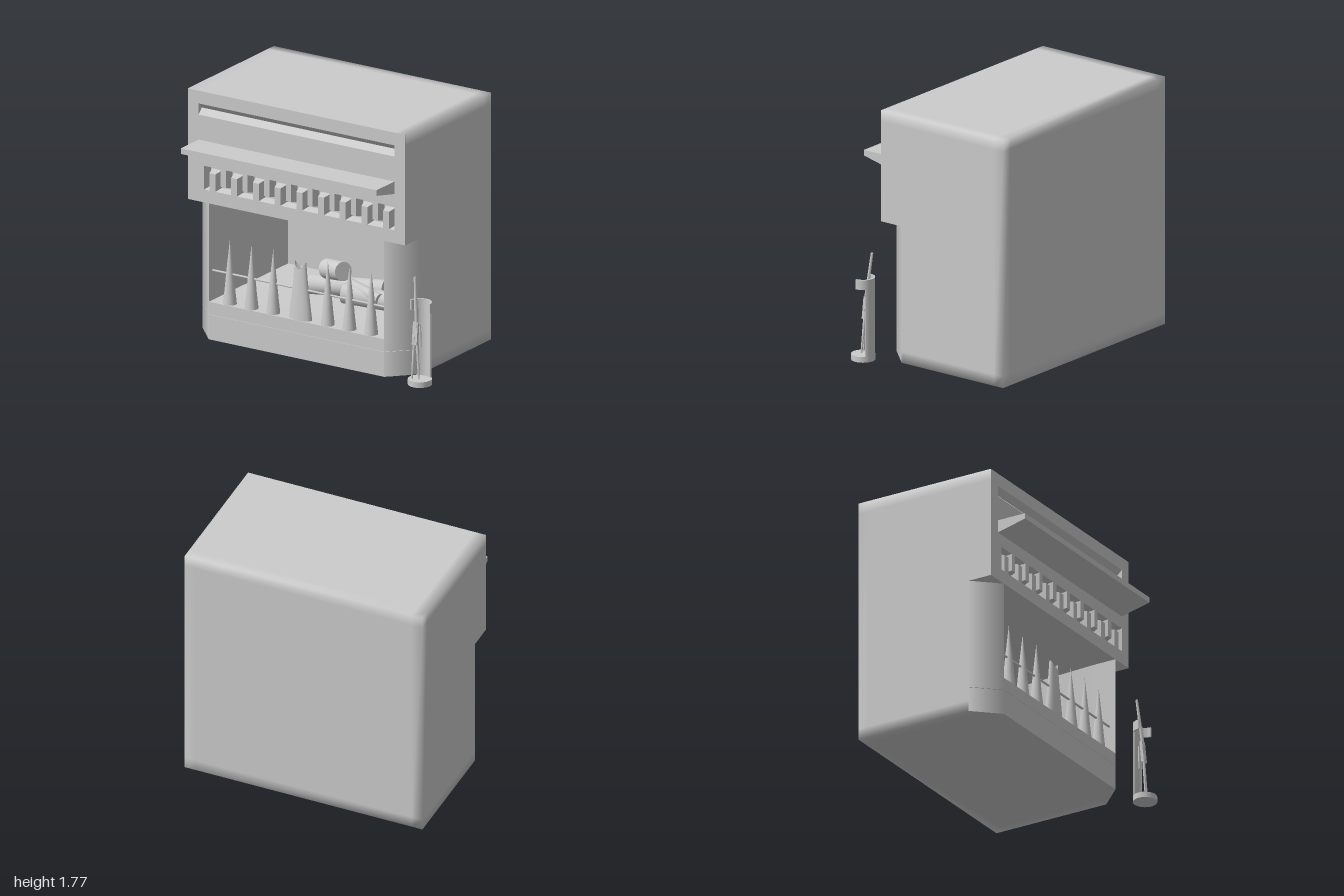
import * as THREE from 'three';
import { mergeVertices } from 'three/addons/utils/BufferGeometryUtils.js';

const grey = new THREE.MeshStandardMaterial({ color: 0xcccccc });
const greyBoth = new THREE.MeshStandardMaterial({ color: 0xcccccc, side: THREE.DoubleSide });
const V = (x, y, z) => new THREE.Vector3(x, y, z);
const shapeOf = pts => new THREE.Shape(pts.map(p => new THREE.Vector2(...p)));

export function createModel() {
  const model = new THREE.Group();
  const add = (name, geometry, material = grey, parent = model) => {
    const mesh = new THREE.Mesh(geometry, material);
    mesh.name = name;
    parent.add(mesh);
    return mesh;
  };
  const group = name => {
    const g = new THREE.Group();
    g.name = name;
    model.add(g);
    return g;
  };
  const box = (x0, x1, y0, y1, z0, z1) =>
    new THREE.BoxGeometry(x1 - x0, y1 - y0, z1 - z0).translate((x0 + x1) / 2, (y0 + y1) / 2, (z0 + z1) / 2);
  const extrude = (shape, depth) =>
    new THREE.ExtrudeGeometry(shape, { depth, bevelEnabled: false, curveSegments: 12 });
  // (z, y) profile swept along x
  const alongX = (zy, x0, x1) =>
    extrude(shapeOf(zy.map(([z, y]) => [-z, y])), x1 - x0).rotateY(Math.PI / 2).translate(x0, 0, 0);
  // (x, z) plan raised along y
  const raise = (shape, y0, y1) => extrude(shape, y1 - y0).rotateX(-Math.PI / 2).translate(0, y0, 0);
  const plan = xz => shapeOf(xz.map(([x, z]) => [x, -z]));
  // rod between two points
  const rod = (a, b, ra, rb = ra, sides = 12) => {
    const d = b.clone().sub(a);
    return new THREE.CylinderGeometry(rb, ra, d.length(), sides)
      .applyQuaternion(new THREE.Quaternion().setFromUnitVectors(V(0, 1, 0), d.normalize()))
      .translate((a.x + b.x) / 2, (a.y + b.y) / 2, (a.z + b.z) / 2);
  };
  // box with softly shaded edges; faces: 0 +x, 1 -x, 2 +y, 3 -y, 4 +z, 5 -z
  const softBox = (x0, x1, y0, y1, z0, z1, faces) => {
    const size = [x1 - x0, y1 - y0, z1 - z0];
    const g = new THREE.BoxGeometry(...size, 3, 3, 3);
    const p = g.attributes.position;
    for (let i = 0; i < p.count; i++) for (let k = 0; k < 3; k++) {
      const v = p.getComponent(i, k);
      if (Math.abs(v) < size[k] * 0.4) p.setComponent(i, k, Math.sign(v) * (size[k] / 2 - 0.08));
    }
    const index = Array.from(g.index.array);
    g.setIndex(faces.flatMap(f => index.slice(f * 54, f * 54 + 54)));
    g.clearGroups();
    g.deleteAttribute('uv');
    g.deleteAttribute('normal');
    const merged = mergeVertices(g);
    merged.computeVertexNormals();
    return merged.translate((x0 + x1) / 2, (y0 + y1) / 2, (z0 + z1) / 2);
  };
  // shade the diagonal corner faces smoothly from side to front
  const softCorner = g => {
    const p = g.attributes.position, n = g.attributes.normal;
    for (let i = 0; i < p.count; i++) {
      if (Math.abs(n.getX(i)) < 0.3 || n.getZ(i) < 0.3) continue;
      const s = Math.sign(n.getX(i));
      if (p.getZ(i) < 0.3) n.setXYZ(i, s, 0, 0);
      else n.setXYZ(i, s * 0.3, 0, 0.95);
    }
    return g;
  };

  // Main casing and the overhanging upper casing
  const L = -1, R = 0.772, T = 1.773, mid = 0.977, e = 0.001;
  add('casing', softBox(L, R, 0, T, -0.64, 0.24, [0, 1, 2, 3, 5]));
  add('upperCasing', softBox(L, R, mid, T, 0.24, 0.42, [0, 1, 2]));
  add('upperCore', box(L + e, R - e, mid, T - e, 0.24, 0.36));

  // Upper front with a slot and a square-wave channel with sloping walls
  const front = shapeOf([[L + e, mid], [R - e, mid], [R - e, T - e], [L + e, T - e]]);
  const s0 = -0.913, s1 = 0.682;
  front.holes.push(shapeOf([[s0, 1.6], [s0, 1.68], [s1, 1.68], [s1, 1.6]]));
  const channel = d => {
    const upper = [], lower = [], w = 0.043 - d;
    for (let i = 0; i < 9; i++) {
      const a = -0.868 + i * 0.177, b = a + 0.135, foot = 1.07 + d, cup = 1.115 - d;
      upper.push([a + d, i ? cup : foot], [a + d, 1.24 - d], [b - d, 1.24 - d], [b - d, i < 8 ? cup : foot]);
      lower.push([a + w, foot], [a + w, 1.195 + d], [b - w, 1.195 + d], [b - w, foot]);
    }
    return [...upper, ...lower.reverse()];
  };
  const rim = channel(0), bed = channel(0.015), walls = [];
  rim.forEach((p, i) => {
    const j = (i + 1) % rim.length;
    const a = [...p, 0.42], b = [...rim[j], 0.42], c = [...bed[j], 0.36], d = [...bed[i], 0.36];
    walls.push(...a, ...b, ...c, ...a, ...c, ...d);
  });
  front.holes.push(shapeOf(rim));
  add('upperFront', extrude(front, 0.06).translate(0, 0, 0.36));
  const wallGeometry = new THREE.BufferGeometry();
  wallGeometry.setAttribute('position', new THREE.Float32BufferAttribute(walls, 3));
  wallGeometry.computeVertexNormals();
  add('channelWalls', wallGeometry, greyBoth);
  add('slotSill', alongX([[0.36, 1.6], [0.42, 1.6], [0.38, 1.64], [0.36, 1.64]], s0, s1));
  add('slotHood', alongX([[0.36, 1.64], [0.38, 1.64], [0.42, 1.68], [0.36, 1.68]], s0, s1));
  add('mantelShelf', alongX([[0.42, 1.33], [0.64, 1.38], [0.64, 1.42], [0.42, 1.42]], s0, s1));

  // Firebox: an inward-facing box without a front, narrowing to the back
  const c0 = -0.83, c1 = 0.6, floor = 0.27;
  const firebox = box(c0, c1, floor, mid, -0.5, 0.24);
  const fp = firebox.attributes.position;
  for (let i = 0; i < fp.count; i++) if (fp.getZ(i) < 0) {
    fp.setX(i, fp.getX(i) < 0 ? c0 + 0.04 : c1 - 0.03);
    fp.setY(i, fp.getY(i) < 0.5 ? floor + 0.02 : mid - 0.04);
  }
  const faces = Array.from(firebox.index.array);
  firebox.setIndex([...faces.slice(0, 24), ...faces.slice(30)].reverse());
  firebox.clearGroups();
  firebox.computeVertexNormals();
  add('firebox', firebox);

  // Chamfered hearth and corner pillars
  const hearthPlan = plan([[L, 0.24], [c0, 0.42], [c1, 0.42], [R, 0.24]]);
  add('hearthBase', softCorner(raise(hearthPlan, 0, 0.178)));
  add('hearthSill', softCorner(raise(hearthPlan, 0.18, floor)));
  add('pillarRight', softCorner(raise(plan([[L, 0.24], [c0, 0.42], [c0, 0.24]]), floor, mid)));
  add('pillarLeft', softCorner(raise(plan([[R, 0.24], [c1, 0.42], [c1, 0.24]]), floor, mid)));

  // Grate: curved spikes, a horned centre piece and a rail
  const grate = group('grate');
  const zG = 0.37, xC = -0.115;
  const spike = new THREE.LatheGeometry(
    [[0.048, 0], [0.037, 0.1], [0.026, 0.22], [0.013, 0.34], [0, 0.46]].map(p => new THREE.Vector2(...p)), 16);
  for (const side of [-1, 1]) for (let i = 0; i < 3; i++)
    add('spike', spike, greyBoth, grate).position.set(xC + side * (0.222 + i * 0.177), floor, zG);
  const horned = new THREE.CylinderGeometry(0.045, 0.09, 0.36, 24, 4, true);
  const hp = horned.attributes.position;
  for (let i = 0; i < hp.count; i++) {
    const x = hp.getX(i), y = hp.getY(i);
    if (y > 0.17) hp.setY(i, y + 0.05 * (x / 0.045) ** 2);
    hp.setZ(i, hp.getZ(i) * 0.5);
  }
  horned.computeVertexNormals();
  add('hornedCentre', horned, greyBoth, grate).position.set(xC, floor + 0.18, zG);
  add('rail', rod(V(c0, 0.483, zG), V(c1, 0.483, zG), 0.008, 0.008, 8), grey, grate);

  // Logs
  const logs = group('logs');
  for (const [a, b, r] of [
    [V(-0.36, 0.34, -0.1), V(0.2, 0.375, -0.2), 0.07],
    [V(-0.02, 0.36, -0.02), V(0.42, 0.338, -0.1), 0.07],
    [V(-0.22, 0.47, -0.12), V(-0.03, 0.51, -0.03), 0.07],
    [V(0.0, 0.42, -0.06), V(0.27, 0.37, -0.02), 0.04],
  ]) add('log', rod(a, b, r, r * 0.95, 20), grey, logs);

  // Tool stand: disc foot, curved back post and half-ring holder
  const stand = group('toolStand');
  stand.position.set(0.917, 0, 0.46);
  const arc = (half, y0, y1) => {
    const s = new THREE.Shape();
    s.absarc(0, 0, 0.082, Math.PI / 2 - half, Math.PI / 2 + half, false);
    s.absarc(0, 0, 0.07, Math.PI / 2 + half, Math.PI / 2 - half, true);
    return raise(s, y0, y1);
  };
  add('foot', new THREE.CylinderGeometry(0.083, 0.083, 0.04, 32).translate(0, 0.04, 0), grey, stand);
  add('post', arc(0.7, 0.06, 0.6), grey, stand);
  add('holder', arc(Math.PI / 2, 0.54, 0.61), grey, stand);

  // Fire tools leaning in the stand
  const tools = group('fireTools');
  add('handle', rod(V(0.89, 0.42, 0.462), V(0.857, 0.77, 0.43), 0.013, 0.009, 8), grey, tools);
  add('blade', box(-0.02, 0.02, -0.08, 0.08, -0.01, 0.01).rotateX(-0.1).translate(0.885, 0.38, 0.465), grey, tools);
  add('tongLeg', rod(V(0.872, 0.06, 0.49), V(0.88, 0.36, 0.47), 0.006, 0.012, 8), grey, tools);
  add('tongLeg', rod(V(0.918, 0.06, 0.475), V(0.892, 0.36, 0.46), 0.006, 0.012, 8), grey, tools);
  add('hook', rod(V(0.9, 0.27, 0.425), V(0.895, 0.44, 0.425), 0.007, 0.007, 8), grey, tools);

  return model;
}
